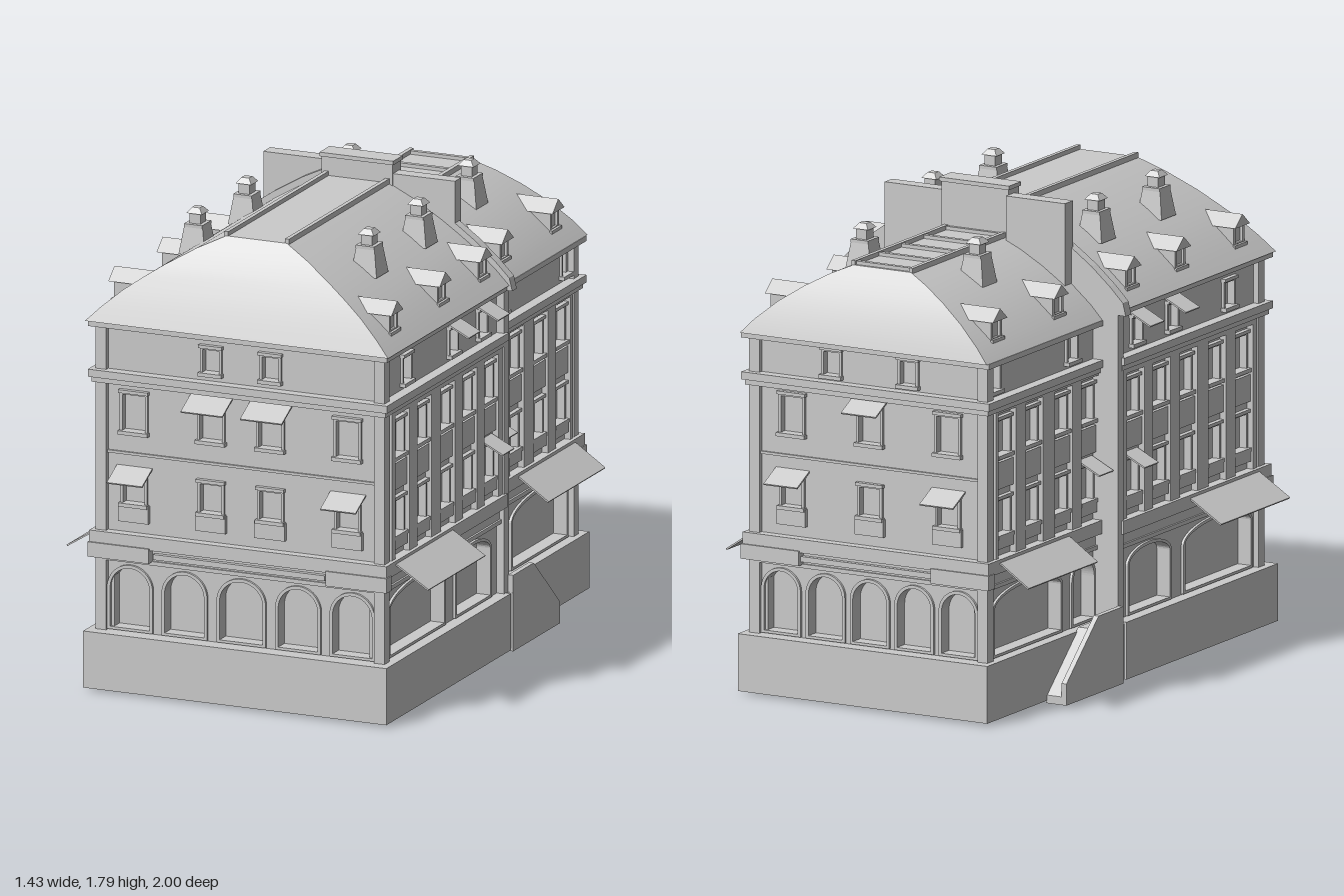
import * as THREE from 'three';

const mat = new THREE.MeshStandardMaterial({ color: 0xcccccc, side: THREE.DoubleSide });

function add(parent, name, geo) {
  const m = new THREE.Mesh(geo, mat);
  m.name = name;
  parent.add(m);
  return m;
}
// box given by its limits
function slab(parent, name, x0, x1, y0, y1, z0, z1) {
  const m = add(parent, name, new THREE.BoxGeometry(Math.abs(x1 - x0), y1 - y0, Math.abs(z1 - z0)));
  m.position.set((x0 + x1) / 2, (y0 + y1) / 2, (z0 + z1) / 2);
  return m;
}
function extrude(parent, name, shape, depth, z) {
  const m = add(parent, name, new THREE.ExtrudeGeometry(shape, { depth, bevelEnabled: false, curveSegments: 14 }));
  m.position.z = z;
  return m;
}
const poly = (pts) => new THREE.Shape(pts.map(([x, y]) => new THREE.Vector2(x, y)));
const rect = (x0, x1, y0, y1) => poly([[x0, y0], [x1, y0], [x1, y1], [x0, y1]]);
// arched opening: half width w, straight up to ys, then an elliptic head of height h
function arch(x, w, y0, ys, h) {
  const s = new THREE.Shape();
  s.moveTo(x - w, y0);
  s.lineTo(x - w, ys);
  s.absellipse(x, ys, w, h, Math.PI, 0, true);
  s.lineTo(x + w, y0);
  s.closePath();
  return s;
}
function ring(parent, name, outer, inner, depth, z) {
  outer.holes.push(inner);
  extrude(parent, name, outer, depth, z);
}
// four-sided tapered block with flat faces, given its top and bottom widths
function taper(parent, name, top, bottom, h, x, y, z) {
  const geo = new THREE.CylinderGeometry(top * Math.SQRT1_2, bottom * Math.SQRT1_2, h, 4).rotateY(Math.PI / 4).toNonIndexed();
  geo.computeVertexNormals();
  add(parent, name, geo).position.set(x, y, z);
}
// sloping sheet falling outward from the wall
function awning(parent, u, w, yTop, yLow, out, z = 0) {
  const dy = yTop - yLow;
  const m = add(parent, 'awning', new THREE.BoxGeometry(w, 0.006, Math.hypot(dy, out)));
  m.position.set(u, (yTop + yLow) / 2, z + out / 2);
  m.rotation.x = Math.atan2(dy, out);
}

// One wall in its own frame: u along x, outward is +z
function facade(wing, name, u0, u1, top, f) {
  const g = new THREE.Group();
  g.name = name;
  wing.add(g);
  const wall = rect(u0, u1, 0.22, top);
  for (const [u, w, rise] of f.arches) {
    const ys = 0.46 - rise;
    wall.holes.push(arch(u, w, 0.235, ys, rise));
    ring(g, 'archTrim', arch(u, w + 0.012, 0.225, ys, rise + 0.012), arch(u, w, 0.235, ys, rise), 0.01, 0);
    slab(g, 'archPanel', u - w - 0.01, u + w + 0.01, 0.225, 0.47, -0.05, -0.045);
  }
  for (const { u, w, y0, y1, shade, box } of f.windows) {
    const a = u - w / 2, b = u + w / 2;
    wall.holes.push(rect(a, b, y0, y1));
    ring(g, 'windowFrame', rect(a - 0.01, b + 0.01, y0 - 0.01, y1 + 0.01), rect(a, b, y0, y1), 0.01, 0);
    slab(g, 'windowPane', a, b, y0, y1, -0.026, -0.02);
    slab(g, 'windowSill', a - 0.014, b + 0.014, y0 - 0.014, y0, 0, 0.022);
    slab(g, 'windowHead', a - 0.014, b + 0.014, y1 + 0.006, y1 + 0.018, 0, 0.018);
    if (box) slab(g, 'windowApron', u - 0.06, u + 0.06, y0 - 0.07, y0 - 0.005, 0, 0.016);
    if (shade) awning(g, u, shade, y1 + 0.03, y1 - 0.015, 0.09);
  }
  extrude(g, 'wall', wall, 0.045, -0.045);
  // string courses and cornices
  for (const [y0, y1, out] of [[0.485, 0.5, 0.02], [0.5, 0.54, 0.012], [0.545, 0.595, 0.038],
    [f.cornice, f.cornice + 0.02, 0.032], [f.cornice + 0.02, f.cornice + 0.048, 0.042], [top - 0.02, top, 0.042]])
    slab(g, 'stringCourse', u0 - out * f.ends[0], u1 + out * f.ends[1], y0, y1, -0.01, out);
  return g;
}

// Hipped roof from rows of [half width, height, hip z], open toward zBack
function roof(wing, rows, zBack) {
  const strip = (pairOf) => {
    const pos = [], idx = [];
    rows.forEach((r, i) => {
      for (const p of pairOf(r)) pos.push(...p);
      const k = 2 * i;
      if (i) idx.push(k - 2, k - 1, k + 1, k - 2, k + 1, k);
    });
    const geo = new THREE.BufferGeometry();
    geo.setAttribute('position', new THREE.Float32BufferAttribute(pos, 3));
    geo.setIndex(idx);
    geo.computeVertexNormals();
    return geo;
  };
  add(wing, 'roofSlopeLeft', strip(([x, y, z]) => [[x, y, z], [x, y, zBack]]));
  add(wing, 'roofSlopeRight', strip(([x, y, z]) => [[-x, y, zBack], [-x, y, z]]));
  add(wing, 'roofHip', strip(([x, y, z]) => [[-x, y, z], [x, y, z]]));
  const [x, y, z] = rows[rows.length - 1];
  slab(wing, 'roofTop', -x, x, y - 0.01, y, zBack, z);
  for (const s of [-1, 1]) slab(wing, 'roofRib', s * x - 0.008, s * x + 0.008, y - 0.01, y + 0.016, zBack, z);
}

function dormer(wing, s, x, y, z) {
  const g = new THREE.Group();
  g.name = 'dormer';
  ring(g, 'dormerBody', rect(-0.038, 0.038, -0.01, 0.085), rect(-0.024, 0.024, 0.015, 0.072), 0.13, -0.13);
  slab(g, 'dormerPane', -0.026, 0.026, 0.01, 0.075, -0.016, -0.01);
  slab(g, 'dormerSill', -0.044, 0.044, 0, 0.012, 0, 0.01);
  extrude(g, 'dormerRoof', poly([[-0.053, 0.078], [0.053, 0.078], [0, 0.122]]), 0.2, -0.185);
  g.position.set(s * x, y, z);
  g.rotation.y = s * Math.PI / 2;
  wing.add(g);
}

function chimney(wing, x, y, z) {
  taper(wing, 'chimneyBase', 0.072, 0.104, 0.105, x, y + 0.035, z);
  slab(wing, 'chimneyLedge', x - 0.036, x + 0.036, y + 0.083, y + 0.095, z - 0.04, z + 0.04);
  slab(wing, 'chimneyPot', x - 0.022, x + 0.022, y + 0.09, y + 0.135, z - 0.024, z + 0.024);
  taper(wing, 'chimneyCap', 0.03, 0.062, 0.02, x, y + 0.143, z);
}

// A wing stands with its hipped end toward +z and its open end at zBack
function buildWing(name, p) {
  const g = new THREE.Group();
  g.name = name;
  const { hx, zBack, zEnd, top, cornice } = p;
  const end = facade(g, 'endFacade', -hx, hx, top, { cornice, ends: [1, 1], arches: p.endArches, windows: p.endWindows });
  end.position.z = zEnd;
  slab(end, 'storeyBand', -hx, hx, 0.885, 0.895, 0, 0.008);
  slab(end, 'rolledAwning', -0.34, 0.34, 0.51, 0.53, 0, 0.03);
  for (const s of [-1, 1]) {
    slab(end, 'signPanel', s * (hx - 0.2), s * (hx + 0.042), 0.497, 0.552, 0, 0.045);
    slab(end, 'cornerPilaster', s * (hx - 0.02), s * (hx + 0.022), 0.22, top, -0.025, 0.018);
  }
  for (const s of [-1, 1]) {
    const U = (z) => -s * z;
    const windows = p.attic.map(([z, shade]) => ({ u: U(z), w: 0.065, y0: cornice + 0.075, y1: cornice + 0.165, shade }));
    p.bays.forEach((z) => {
      windows.push({ u: U(z), w: 0.085, y0: 0.97, y1: 1.095 });
      windows.push({ u: U(z), w: 0.085, y0: 0.675, y1: 0.8, shade: z === p.shadedBay ? 0.1 : 0 });
    });
    const [u0, u1] = [U(zBack), U(zEnd)].sort((a, b) => a - b);
    const side = facade(g, 'sideFacade', u0, u1, top,
      { cornice, ends: s > 0 ? [1, 0] : [0, 1], windows, arches: p.sideArches.map(([z, w, r]) => [U(z), w, r]) });
    side.rotation.y = s * Math.PI / 2;
    side.position.x = s * hx;
    // piers between the window bays
    const edges = [zEnd - 0.04, ...p.bays.flatMap((z) => [z + 0.062, z - 0.062]), zBack];
    for (let i = 0; i < edges.length; i += 2)
      slab(side, 'pier', U(edges[i]), U(edges[i + 1]), 0.59, cornice, 0, 0.024);
    for (const z of p.bays) {
      slab(side, 'spandrel', U(z + 0.062), U(z - 0.062), 0.845, 0.945, 0, 0.014);
      slab(side, 'bayApron', U(z + 0.055), U(z - 0.055), 0.625, 0.662, 0, 0.02);
      slab(side, 'bayHead', U(z + 0.062), U(z - 0.062), 1.13, cornice, 0, 0.024);
    }
    awning(side, U(p.shopAwning), 0.495, 0.585, 0.5, p.shopOut, 0.03);
    for (const z of p.dormers) dormer(g, s, p.dormerX, p.dormerY, z);
    for (const z of p.chimneys) chimney(g, s * p.chimneyX, p.chimneyY, z);
    slab(g, 'plinthSide', s * (p.baseX - 0.008), s * p.baseX, 0.01, 0.22, zBack, p.baseZ);
    slab(g, 'plinthLedge', s * (hx - 0.02), s * p.baseX, 0.214, 0.222, zBack, p.baseZ);
  }
  slab(g, 'plinthEnd', -p.baseX, p.baseX, 0.01, 0.22, p.baseZ - 0.008, p.baseZ);
  slab(g, 'plinthLedge', -p.baseX, p.baseX, 0.214, 0.222, zEnd - 0.02, p.baseZ);
  roof(g, p.roof, zBack);
  return g;
}

export function createModel() {
  const model = new THREE.Group();
  model.name = 'townhouse';

  const frontRoof = [[0.6, 1.38, 0.96], [0.545, 1.435, 0.938], [0.47, 1.5, 0.91], [0.4, 1.55, 0.885],
    [0.33, 1.597, 0.862], [0.22, 1.662, 0.821], [0.12, 1.71, 0.785]];
  const upper = (u, shade) => ({ u, w: 0.09, y0: 0.975, y1: 1.11, shade });
  const lower = (u, shade) => ({ u, w: 0.085, y0: 0.705, y1: 0.81, shade, box: true });
  const small = (u, y0) => ({ u, w: 0.065, y0, y1: y0 + 0.085 });
  model.add(buildWing('frontWing', {
    hx: 0.55, zBack: -0.11, zEnd: 0.91, top: 1.38, cornice: 1.15, baseX: 0.6, baseZ: 0.975,
    endArches: [-0.44, -0.225, 0, 0.225, 0.44].map((u) => [u, u ? 0.078 : 0.085, 0.078]),
    endWindows: [upper(-0.425), upper(-0.12, 0.165), upper(0.115, 0.165), upper(0.42),
      lower(-0.425, 0.14), lower(-0.12), lower(0.115), lower(0.42, 0.14), small(-0.12, 1.23), small(0.115, 1.23)],
    sideArches: [[0.615, 0.235, 0.055], [0.125, 0.145, 0.05]],
    bays: [0.777, 0.584, 0.38, 0.188, 0], shadedBay: 0,
    attic: [[0.7, 0], [0.295, 0.1], [0.04, 0.1]],
    shopAwning: 0.615, shopOut: 0.135,
    dormers: [0.79, 0.37, 0.015], dormerX: 0.545, dormerY: 1.425,
    chimneys: [0.55, 0.12], chimneyX: 0.34, chimneyY: 1.58, roof: frontRoof,
  }));

  const rear = buildWing('rearWing', {
    hx: 0.475, zBack: 0.11, zEnd: 0.91, top: 1.335, cornice: 1.14, baseX: 0.52, baseZ: 0.97,
    endArches: [-0.37, -0.185, 0, 0.185, 0.37].map((u) => [u, 0.07, 0.07]),
    endWindows: [upper(-0.325), upper(0, 0.145), upper(0.325), lower(-0.325, 0.14), lower(0), lower(0.325, 0.14),
      small(-0.16, 1.21), small(0.16, 1.21)],
    sideArches: [[0.218, 0.075, 0.075], [0.617, 0.237, 0.055]],
    bays: [0.79, 0.595, 0.385, 0.195], shadedBay: 0.195,
    attic: [[0.85, 0], [0.295, 0]],
    shopAwning: 0.617, shopOut: 0.125,
    dormers: [0.8, 0.36], dormerX: 0.46, dormerY: 1.385,
    chimneys: [0.55], chimneyX: 0.235, chimneyY: 1.54,
    roof: [[0.515, 1.335, 0.965], [0.465, 1.388, 0.948], [0.38, 1.46, 0.919], [0.29, 1.52, 0.888], [0.2, 1.57, 0.857], [0.12, 1.605, 0.83]],
  });
  rear.rotation.y = Math.PI;
  model.add(rear);

  // skylight bars on the rear roof
  for (let i = 0; i < 5; i++) {
    const z = -0.17 - i * 0.16;
    slab(model, 'skylightBar', -0.12, 0.12, 1.6, 1.618, z - 0.009, z + 0.009);
  }

  // party wall between the wings, following the taller roof
  const up = frontRoof.map(([x, y]) => [x, y + 0.028]);
  const outline = [[0.58, 0.22], [0.58, 1.36], [0.612, 1.36], ...up];
  extrude(model, 'partyWall', poly([...outline, ...outline.slice().reverse().map(([x, y]) => [-x, y])]), 0.04, -0.136);
  slab(model, 'plinthPartition', -0.6, 0.6, 0.01, 0.22, -0.136, -0.128);
  slab(model, 'centralStack', -0.14, 0.14, 1.58, 1.78, -0.165, -0.09);
  slab(model, 'centralStackCap', -0.146, 0.146, 1.78, 1.795, -0.172, -0.084);
  slab(model, 'rightStack', -0.385, -0.14, 1.45, 1.76, -0.182, -0.122);
  slab(model, 'leftStack', 0.14, 0.385, 1.45, 1.745, -0.15, -0.096);

  // side ramps with a solid parapet
  for (const s of [-1, 1]) {
    const flank = (name, drop, width, x) => {
      const m = extrude(model, name,
        poly([[0.13, 0], [0.54, 0], [0.54, 0.08 - drop], [0.31, 0.285 - drop], [0.13, 0.285 - drop]]), width, 0);
      m.rotation.y = Math.PI / 2;
      m.position.x = s * x - width / 2;
    };
    flank('stairParapet', 0, 0.02, 0.59);
    flank('stairRamp', 0.05, 0.065, 0.548);
  }
  return model;
}
